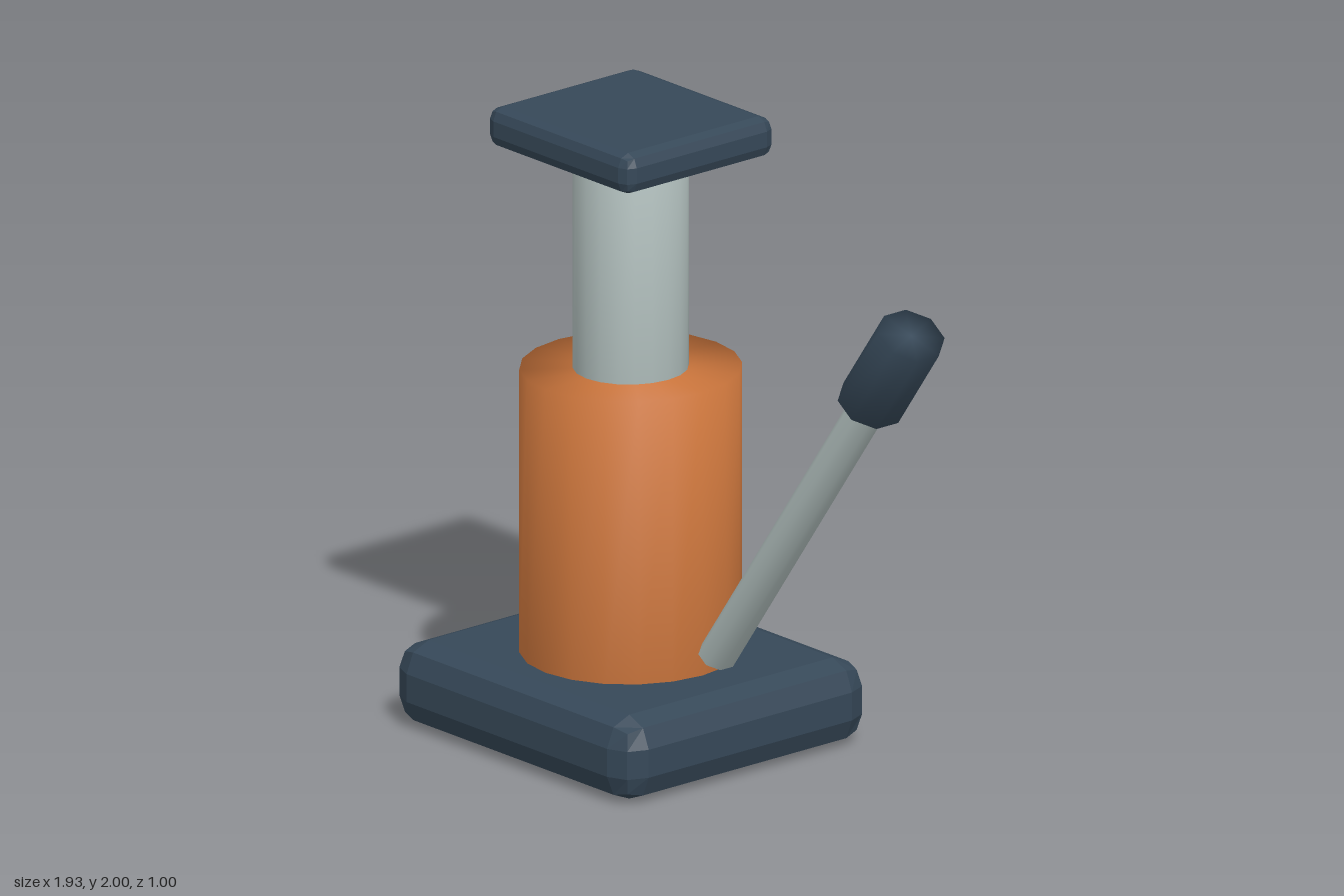
import * as THREE from 'three';
import { RoundedBoxGeometry } from 'three/addons/geometries/RoundedBoxGeometry.js';
import { mergeVertices } from 'three/addons/utils/BufferGeometryUtils.js';

function paint(name, color) {
  const m = new THREE.MeshStandardMaterial({ color });
  m.name = name;
  return m;
}

// Box with two-step bevels and faceted shading
function bevelledBox(w, h, d, bevel) {
  const g = new RoundedBoxGeometry(w, h, d, 1, bevel);
  g.computeVertexNormals();
  return g;
}

// Slightly oval rod whose shading runs smoothly over the end caps
function ovalRod(rx, rz, height, sides, turn = 0) {
  const g = new THREE.CylinderGeometry(1, 1, height, sides, 1, false, turn);
  g.scale(rx, 1, rz);
  g.deleteAttribute('normal');
  g.deleteAttribute('uv');
  const welded = mergeVertices(g);
  welded.computeVertexNormals();
  return welded;
}

export function createModel() {
  const model = new THREE.Group();
  const slate = paint('slate', 0x364858);
  const orange = paint('orange', 0xd67c40);
  const steel = paint('steel', 0xb4c2c0);

  function add(parent, name, geometry, material, x, y) {
    const mesh = new THREE.Mesh(geometry, material);
    mesh.name = name;
    mesh.position.set(x, y, 0);
    parent.add(mesh);
  }

  // Jack column, stacked on one axis
  const cx = -0.412;
  add(model, 'base', bevelledBox(1.11, 0.27, 1.0, 0.09), slate, cx, 0.135);
  add(model, 'cylinderBody', ovalRod(0.334, 0.345, 0.95, 20), orange, cx, 0.705);
  add(model, 'piston', ovalRod(0.174, 0.18, 0.8, 20), steel, cx, 1.5);
  add(model, 'topPad', bevelledBox(0.66, 0.13, 0.605, 0.04), slate, cx, 1.935);

  // Tilted pump lever, built upright from its lower end
  const lever = new THREE.Group();
  lever.name = 'pumpLever';
  lever.position.set(-0.01, 0.352, 0);
  lever.rotation.z = -0.62;
  const k = 1 / Math.cos(Math.PI / 8);
  add(lever, 'leverRod', ovalRod(0.053 * k, 0.061 * k, 1.25, 8, Math.PI / 8), steel, 0, 0.625);
  add(lever, 'leverGrip', ovalRod(0.094 * k, 0.106 * k, 0.325, 8, Math.PI / 8), slate, 0, 1.388);
  model.add(lever);

  return model;
}
